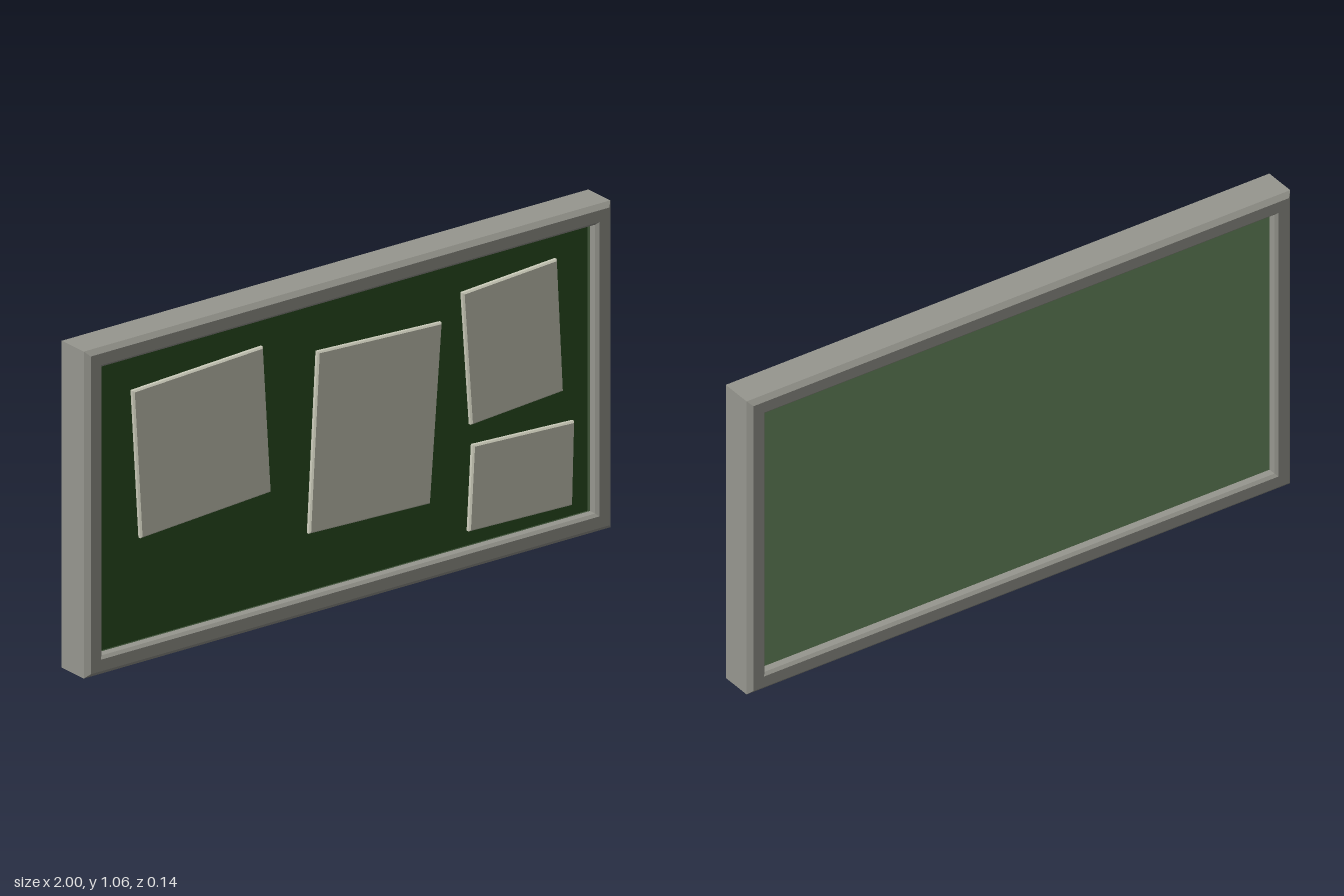
import * as THREE from 'three';

const material = (name, color) => {
  const m = new THREE.MeshStandardMaterial({ color });
  m.name = name;
  return m;
};

const W = 2, H = 1.064;

// Sweeps a cross-section of [inset, z] points around the W x H rectangle with mitred corners
function sweepRectangle(section) {
  const corner = ([inset, z], k) => {
    const sx = k === 1 || k === 2 ? 1 : -1, sy = k >= 2 ? 1 : -1;
    return [sx * (W / 2 - inset), H / 2 + sy * (H / 2 - inset), z];
  };
  const positions = [];
  section.forEach((p, i) => {
    const q = section[(i + 1) % section.length];
    for (let k = 0; k < 4; k++) {
      const n = (k + 1) % 4;
      const a = corner(p, k), b = corner(p, n), c = corner(q, n), d = corner(q, k);
      positions.push(...a, ...b, ...c, ...a, ...c, ...d);
    }
  });
  const geometry = new THREE.BufferGeometry();
  geometry.setAttribute('position', new THREE.Float32BufferAttribute(positions, 3));
  geometry.computeVertexNormals();
  return geometry;
}

// A slightly crooked sheet with softened edges, from its four corners
function sheet(corners) {
  const shape = new THREE.Shape(corners.map(([x, y]) => new THREE.Vector2(x, y)));
  return new THREE.ExtrudeGeometry(shape, {
    depth: 0.01, bevelEnabled: true, bevelThickness: 0.005,
    bevelSize: 0.005, bevelOffset: -0.005, bevelSegments: 1,
  });
}

export function createModel() {
  const grey = material('frame grey', 0x97978f);
  const darkGreen = material('board green', 0x2b5022);
  const paleGreen = material('backing green', 0x6d8f63);
  const cream = material('paper cream', 0xcbcbba);

  const model = new THREE.Group();
  model.name = 'noticeBoard';
  const add = (name, geometry, mat, x = 0, y = 0, z = 0) => {
    const mesh = new THREE.Mesh(geometry, mat);
    mesh.name = name;
    mesh.position.set(x, y, z);
    model.add(mesh);
  };

  // Chamfered frame
  add('frame', sweepRectangle([
    [0, -0.055], [0, 0.055], [0.015, 0.07], [0.053, 0.07],
    [0.062, 0.061], [0.062, -0.061], [0.053, -0.07], [0.015, -0.07],
  ]), grey);

  // Backing panel, its raised rim and the dark writing surface
  add('backing', new THREE.BoxGeometry(W - 0.12, H - 0.12, 0.07), paleGreen, 0, H / 2, 0);
  add('surface', new THREE.BoxGeometry(W - 0.146, H - 0.134, 0.006), darkGreen, 0, H / 2, 0.035);

  // Pinned papers, corners running anticlockwise from bottom left
  const papers = [
    [[-0.78, 0.4], [-0.285, 0.43], [-0.315, 0.91], [-0.81, 0.887]],
    [[-0.14, 0.257], [0.32, 0.243], [0.365, 0.822], [-0.107, 0.842]],
    [[0.475, 0.46], [0.825, 0.485], [0.802, 0.92], [0.443, 0.897]],
    [[0.467, 0.115], [0.86, 0.105], [0.868, 0.377], [0.483, 0.393]],
  ];
  papers.forEach((corners, i) => add(`paper${i + 1}`, sheet(corners), cream, 0, 0, 0.038));

  return model;
}
